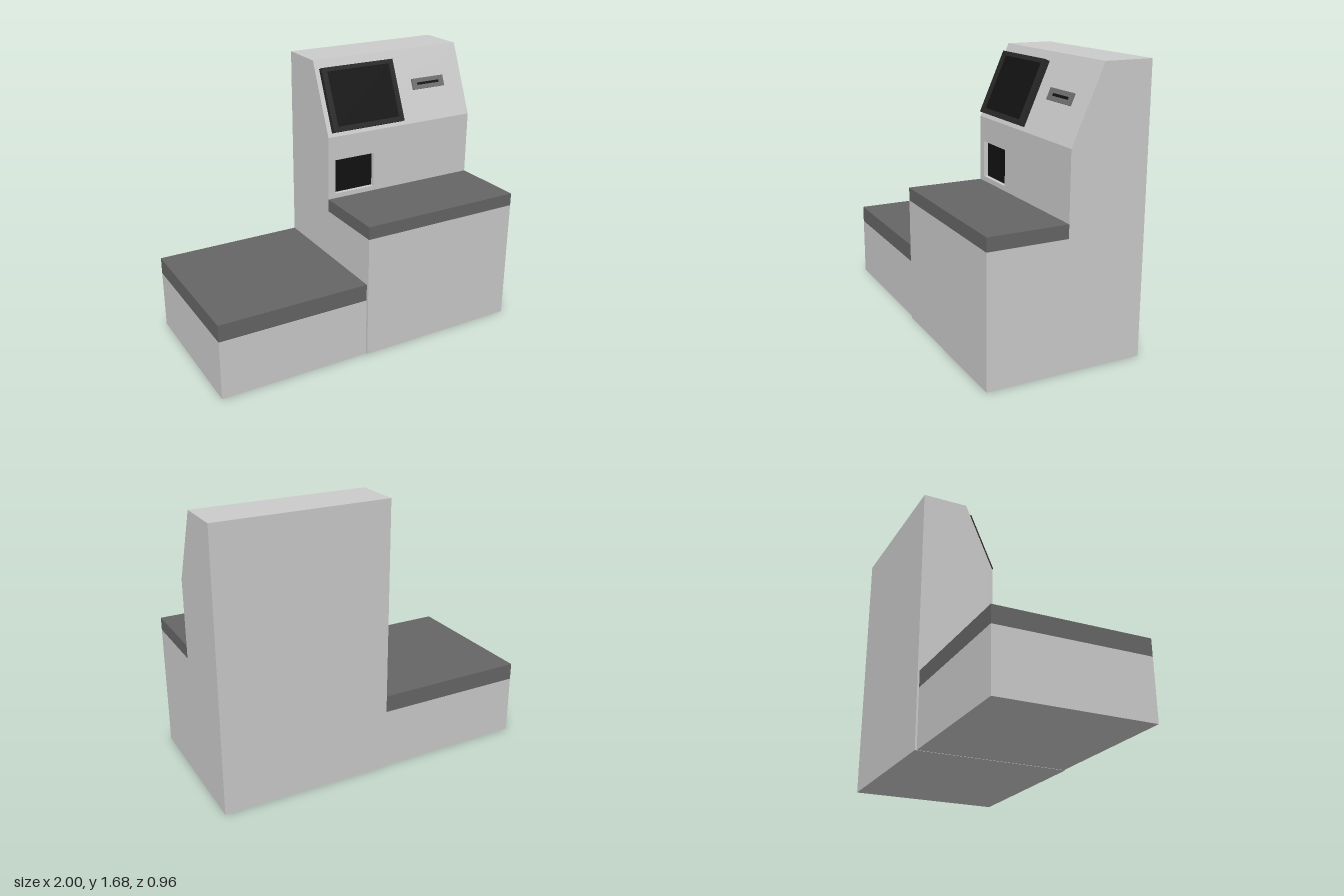
import * as THREE from 'three';

const mat = (color) => new THREE.MeshStandardMaterial({ color });
const GREY = mat(0xcccccc);
const DARK = mat(0x666666);
const BEZEL = mat(0x282828);
const BLACK = mat(0x121212);
const METAL = mat(0x707070);

function add(parent, name, geometry, material) {
  const mesh = new THREE.Mesh(geometry, material);
  mesh.name = name;
  parent.add(mesh);
  return mesh;
}

// Box given by its minimum and maximum corners
function box(parent, name, [x0, y0, z0], [x1, y1, z1], material) {
  const g = new THREE.BoxGeometry(x1 - x0, y1 - y0, z1 - z0);
  g.translate((x0 + x1) / 2, (y0 + y1) / 2, (z0 + z1) / 2);
  return add(parent, name, g, material);
}

const rect = (x0, y0, x1, y1) => [[x0, y0], [x1, y0], [x1, y1], [x0, y1]]
  .map(([x, y]) => new THREE.Vector2(x, y));

// Rectangular plate with a rectangular opening, extruded along z
function framePlate(outer, inner, depth) {
  const shape = new THREE.Shape(rect(...outer));
  shape.holes.push(new THREE.Path(rect(...inner)));
  return new THREE.ExtrudeGeometry(shape, { depth, bevelEnabled: false });
}

export function createModel() {
  const model = new THREE.Group();
  model.name = 'checkoutKiosk';

  // Low bagging platform
  const platform = new THREE.Group();
  platform.name = 'platform';
  model.add(platform);
  box(platform, 'platformBase', [-1, 0, -0.47], [-0.055, 0.37, 0.47], GREY);
  box(platform, 'platformTop', [-1, 0.37, -0.47], [-0.055, 0.475, 0.47], DARK);

  // Cabinet: side profile (z, y) swept across x
  const left = -0.05, right = 1, recess = 0.03;
  const profile = [
    [-0.48, 0], [0.48, 0], [0.48, 0.77], [-recess, 0.77], [-recess, 1.25],
    [0, 1.25], [-0.19, 1.685], [-0.48, 1.685],
  ].map(([z, y]) => new THREE.Vector2(z, y));
  const body = new THREE.ExtrudeGeometry(new THREE.Shape(profile), { depth: right - left, bevelEnabled: false });
  body.rotateY(-Math.PI / 2).translate(right, 0, 0);
  add(model, 'cabinet', body, GREY);
  box(model, 'counterTop', [left, 0.77, 0], [right, 0.85, 0.48], DARK);

  // Upright front wall with the recessed tray opening
  const opening = [0, 0.88, 0.275, 1.1];
  const wall = framePlate([left, 0.77, right, 1.25], opening, recess);
  add(model, 'frontWall', wall.translate(0, 0, -recess), GREY);
  box(model, 'trayBack', [0, 0.88, -recess], [0.275, 1.1, -recess + 0.004], BLACK);

  // Fittings on the sloping console face: local y runs up the slope
  const consoleFace = new THREE.Group();
  consoleFace.name = 'consoleFace';
  consoleFace.position.set(0, 1.25, 0);
  consoleFace.rotation.x = -Math.atan2(0.19, 0.435);
  model.add(consoleFace);
  add(consoleFace, 'screenFrame', framePlate([-0.02, 0.024, 0.487, 0.418], [0.015, 0.055, 0.455, 0.392], 0.031), BEZEL);
  box(consoleFace, 'screen', [0.015, 0.055, 0], [0.455, 0.392, 0.02], BLACK);
  add(consoleFace, 'cardReader', framePlate([0.612, 0.207, 0.852, 0.277], [0.647, 0.234, 0.817, 0.25], 0.01), METAL);
  box(consoleFace, 'cardSlot', [0.647, 0.234, 0], [0.817, 0.25, 0.003], BLACK);

  return model;
}
